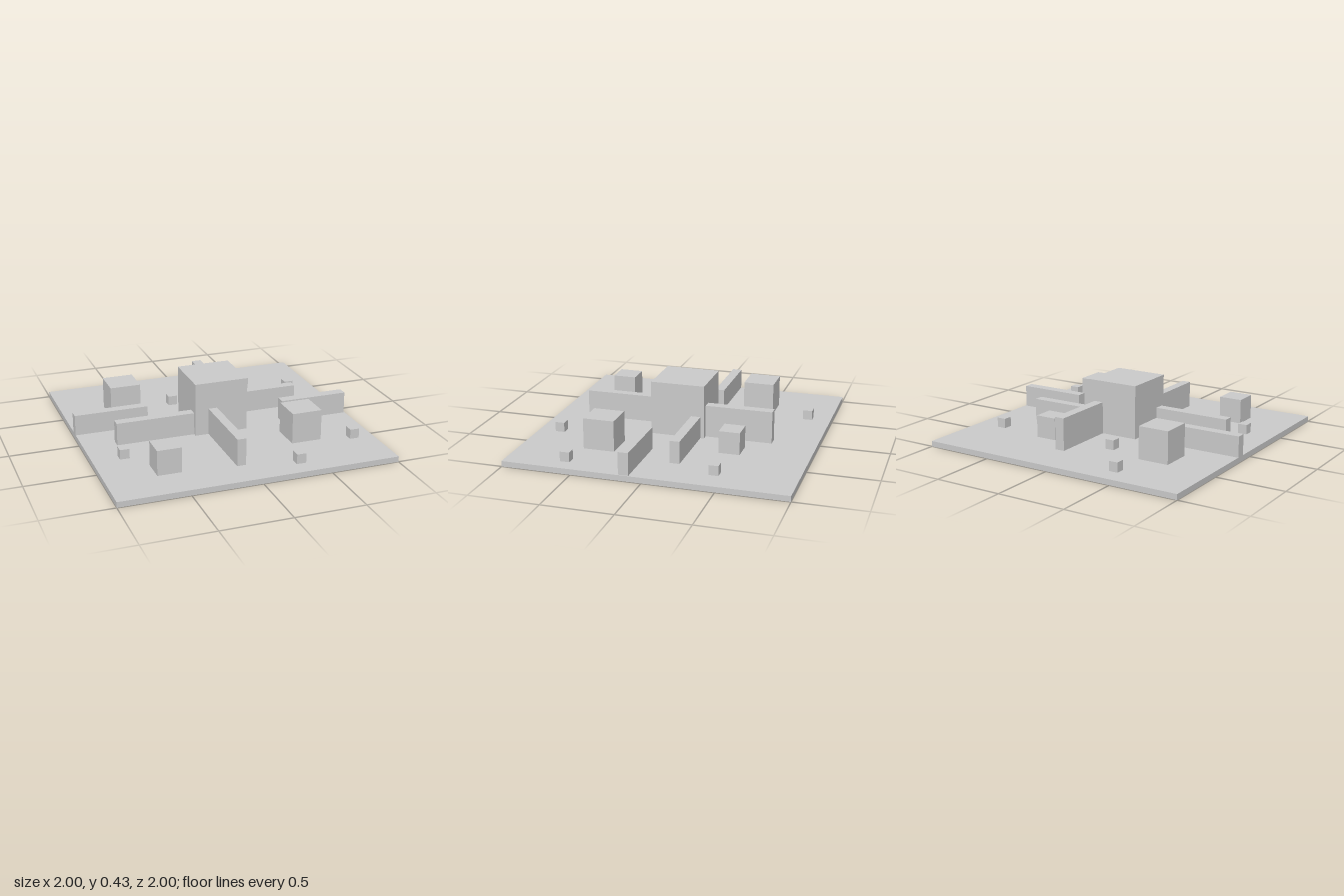
import * as THREE from 'three';

const BASE_TOP = 0.04;

export function createModel() {
  const model = new THREE.Group();
  const material = new THREE.MeshStandardMaterial({ color: 0xcccccc, flatShading: true });

  // Box given by its x range, z range and y range
  function block(name, x0, x1, z0, z1, top, bottom = BASE_TOP) {
    const mesh = new THREE.Mesh(new THREE.BoxGeometry(x1 - x0, top - bottom, z1 - z0), material);
    mesh.position.set((x0 + x1) / 2, (top + bottom) / 2, (z0 + z1) / 2);
    mesh.name = name;
    model.add(mesh);
  }

  // Ground slab and central block
  block('basePlate', -1, 1, -1, 1, BASE_TOP, 0);
  block('centralBlock', -0.195, 0.195, -0.198, 0.195, 0.43);

  // Long walls: x0, x1, z0, z1, top
  const walls = {
    outerRightWall: [-1, -0.46, -0.172, -0.103, 0.19],
    innerRightWall: [-0.765, -0.195, 0.095, 0.165, 0.203],
    innerLeftWall: [0.195, 0.7, -0.172, -0.103, 0.2],
    outerLeftWall: [0.487, 0.992, 0.09, 0.162, 0.2],
    backWall: [0.08, 0.15, -0.683, -0.198, 0.273],
    frontWall: [-0.097, -0.033, 0.195, 0.767, 0.235],
  };
  for (const [name, range] of Object.entries(walls)) block(name, ...range);

  // Medium corner blocks
  const cornerBlocks = {
    backRightBlock: [-0.673, -0.447, -0.557, -0.332, 0.273],
    backLeftBlock: [0.273, 0.428, -0.52, -0.37, 0.2],
    frontLeftBlock: [0.4, 0.62, 0.327, 0.552, 0.263],
    frontRightBlock: [-0.647, -0.475, 0.555, 0.728, 0.22],
  };
  for (const [name, range] of Object.entries(cornerBlocks)) block(name, ...range);

  // Small scattered cubes: centre x, centre z
  const cubes = [[-0.443, -0.831], [-0.166, -0.453], [0.79, -0.443],
    [-0.776, 0.365], [0.853, 0.585], [0.328, 0.84]];
  const h = 0.034;
  cubes.forEach(([x, z], i) => block(`smallCube${i + 1}`, x - h, x + h, z - h, z + h, 0.11));

  return model;
}
